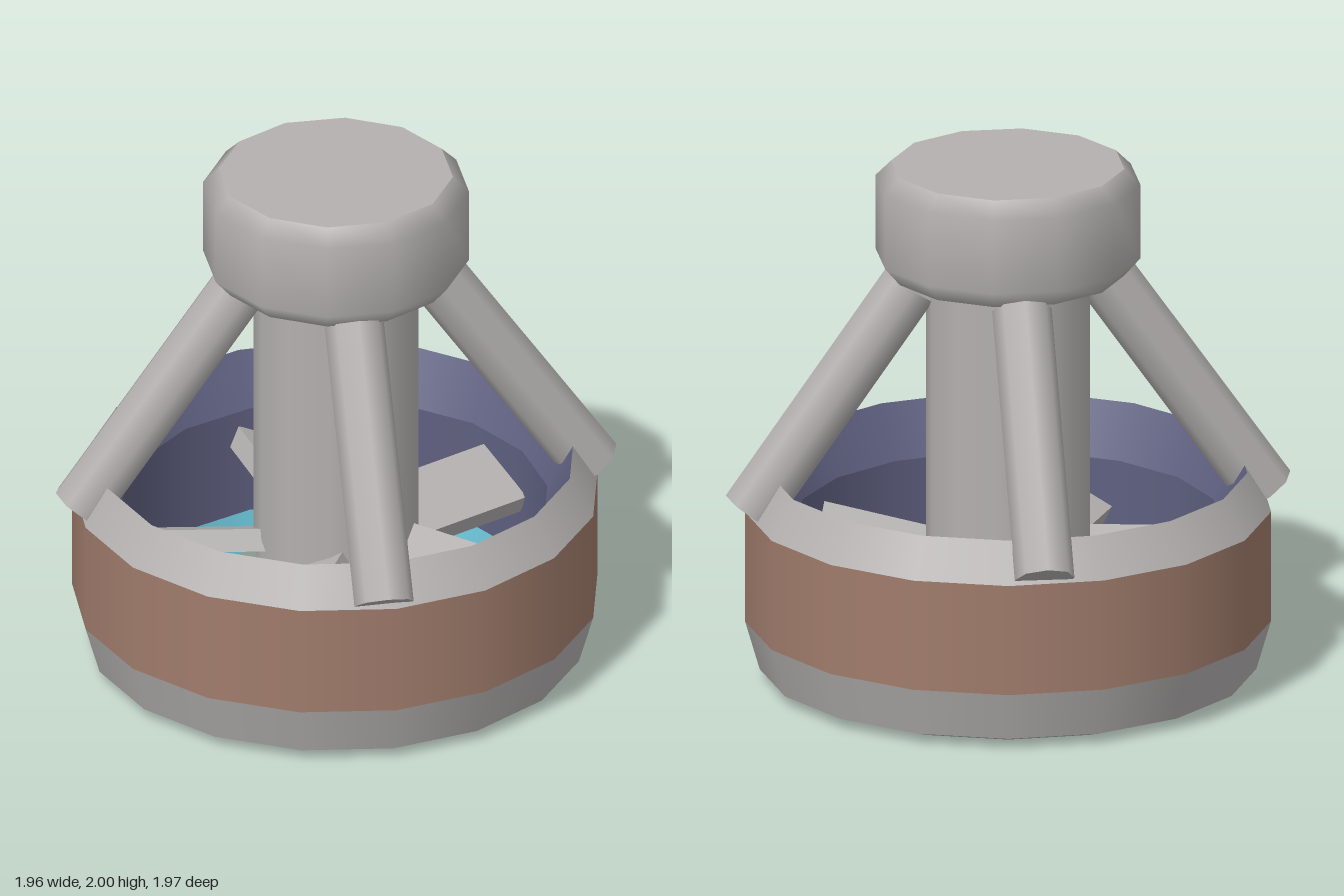
import * as THREE from 'three';

const material = (name, color, side = THREE.FrontSide) => {
  const m = new THREE.MeshStandardMaterial({ color, side });
  m.name = name;
  return m;
};

export function createModel() {
  const grey = material('grey', 0xb4b0b0);
  const brown = material('brown', 0xa07c6c);
  const navy = material('navy', 0x5f6080);
  const teal = material('teal', 0x62b4c8);

  const model = new THREE.Group();
  model.name = 'ductedRotor';
  const body = new THREE.Group();
  body.name = 'body';
  body.position.x = -0.0085; // the odd-sided ring is off its own centre
  model.add(body);

  // Lathe band: smooth around, and smooth along the given [radius, y] points
  const band = (name, mat, sides, points) => {
    const profile = points.map(([r, y]) => new THREE.Vector2(r, y));
    const geo = new THREE.LatheGeometry(profile, sides, Math.PI / 2);
    const mesh = new THREE.Mesh(geo, mat);
    mesh.name = name;
    body.add(mesh);
  };

  // Duct ring, one band per crease, up the outside and down the inside
  const ring = [
    ['ringBottomEdge', grey, [0.82, 0], [0.935, 0.04]],
    ['ringLowerShell', grey, [0.935, 0.04], [0.99, 0.23]],
    ['ringStripe', brown, [0.99, 0.23], [0.99, 0.66]],
    ['ringUpperShell', grey, [0.99, 0.66], [0.9, 0.81]],
    ['ringInnerLip', navy, [0.9, 0.81], [0.8, 0.61]],
    ['ringInnerWall', navy, [0.8, 0.61], [0.8, 0.18]],
    ['ringLowerLip', teal, [0.8, 0.18], [0.73, 0.05]],
    ['ringMouth', teal, [0.73, 0.05], [0.82, 0]],
  ];
  for (const [name, mat, ...points] of ring) band(name, mat, 17, points);

  // Head with bevelled rims
  band('headSide', grey, 12, [[0.44, 1.58], [0.5, 1.65], [0.5, 1.94], [0.44, 2]]);
  band('headTop', grey, 12, [[0.44, 2], [0, 2]]);
  band('headUnderside', grey, 12, [[0, 1.58], [0.44, 1.58]]);

  // Central column, tapering to a neck above the nozzle
  band('column', grey, 12, [[0.31, 0.4], [0.31, 1.6]]);
  band('columnTaper', grey, 12, [[0.17, 0.2], [0.31, 0.4]]);

  // Nozzle
  band('nozzleEnd', navy, 12, [[0, 0], [0.31, 0]]);
  band('nozzleSide', navy, 12, [[0.31, 0], [0.25, 0.14]]);
  band('nozzleShoulder', navy, 12, [[0.25, 0.14], [0.16, 0.21]]);

  // Four slanted struts from ring to head
  const up = new THREE.Vector3(0, 1, 0);
  for (const sx of [-1, 1]) {
    for (const sz of [-1, 1]) {
      const foot = new THREE.Vector3(0.69 * sx, 0.68, 0.69 * sz);
      const tip = new THREE.Vector3(0.262 * sx, 1.547, 0.262 * sz);
      const dir = tip.clone().sub(foot);
      const strut = new THREE.Mesh(new THREE.CylinderGeometry(0.113, 0.113, dir.length(), 8), grey);
      strut.name = 'strut';
      strut.position.copy(foot).add(tip).multiplyScalar(0.5);
      strut.quaternion.setFromUnitVectors(up, dir.normalize());
      body.add(strut);
    }
  }

  // Five pitched rotor blades inside the ring
  for (let i = 0; i < 5; i++) {
    const arm = new THREE.Group();
    arm.name = 'bladeArm';
    arm.rotation.y = (i * Math.PI * 2) / 5;
    const blade = new THREE.Mesh(new THREE.BoxGeometry(0.6, 0.085, 0.28), grey);
    blade.name = 'blade';
    blade.position.set(0.49, 0.45, 0);
    blade.rotation.x = 0.45;
    arm.add(blade);
    body.add(arm);
  }

  return model;
}
